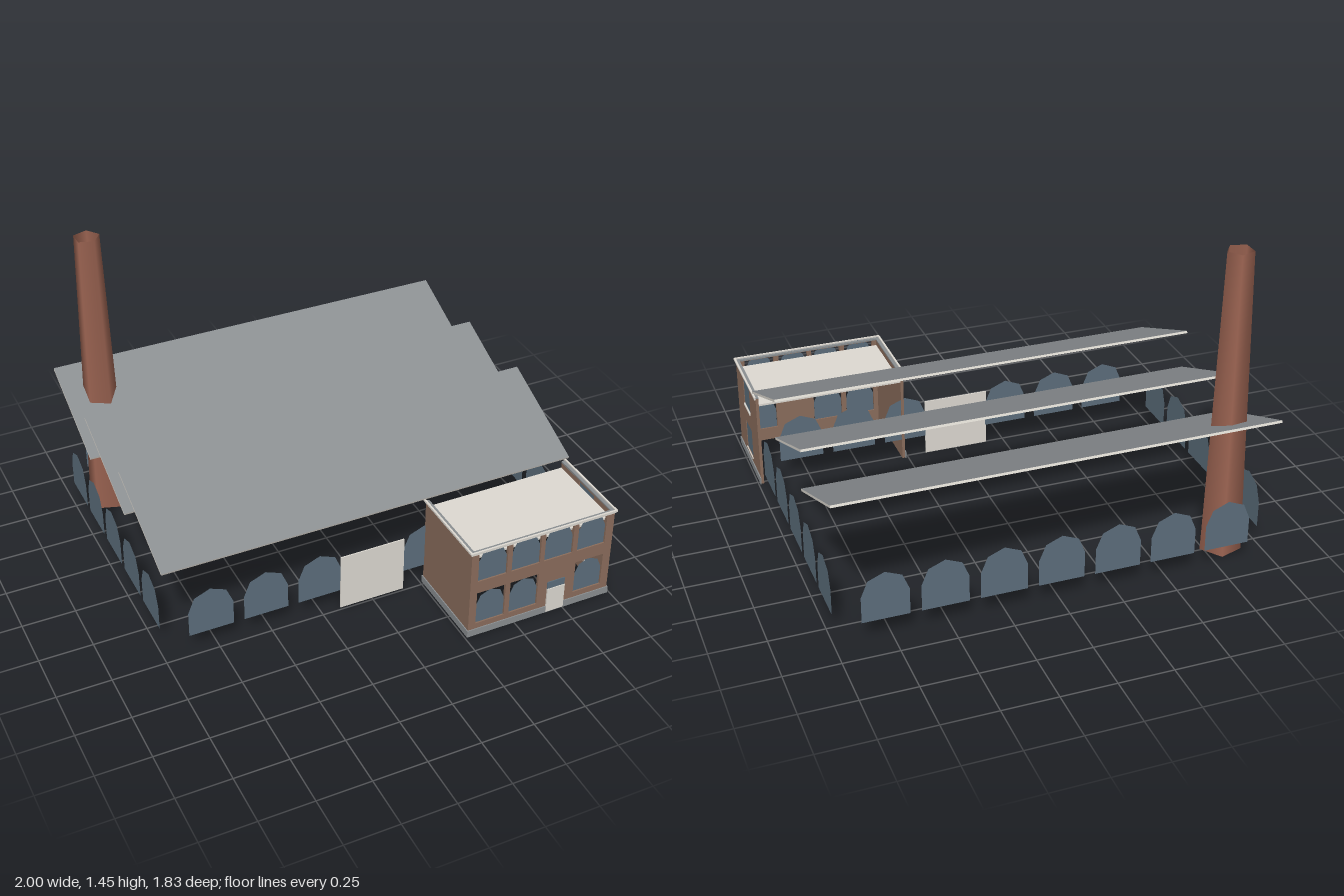
import * as THREE from 'three';

const paint = (name, color, side = THREE.FrontSide) => {
  const m = new THREE.MeshStandardMaterial({ color, side });
  m.name = name;
  return m;
};

export function createModel() {
  const root = new THREE.Group();
  root.name = 'factory';
  const roofGrey = paint('roofGrey', 0x8b8f92);
  const brick = paint('wallBrick', 0x8b6d5c);
  const chimneyBrick = paint('chimneyBrick', 0x9c6452, THREE.DoubleSide);
  const glass = paint('glassBlue', 0x5c6e7c, THREE.DoubleSide);
  const pale = paint('paleStone', 0xdedad2);

  const add = (name, geometry, material, x = 0, y = 0, z = 0, parent = root) => {
    const mesh = new THREE.Mesh(geometry, material);
    mesh.name = name;
    mesh.position.set(x, y, z);
    parent.add(mesh);
    return mesh;
  };
  // box given by its limits
  const box = (name, mat, x0, x1, y0, y1, z0, z1, parent = root) =>
    add(name, new THREE.BoxGeometry(x1 - x0, y1 - y0, z1 - z0), mat,
      (x0 + x1) / 2, (y0 + y1) / 2, (z0 + z1) / 2, parent);

  // upright pane with a four-sided round head, standing on y = 0
  const archPane = (r, spring) => {
    const s = new THREE.Shape();
    s.moveTo(-r, 0);
    s.lineTo(r, 0);
    for (let i = 0; i <= 4; i++) {
      const a = i * Math.PI / 4;
      s.lineTo(r * Math.cos(a), spring + r * Math.sin(a));
    }
    return new THREE.ShapeGeometry(s);
  };

  // wall panel with rectangular openings [x0, x1, y0, y1]
  const wallPanel = (x0, x1, y1, openings, depth) => {
    const rect = (C, a, b, c, d) => new C([[a, c], [b, c], [b, d], [a, d]].map(p => new THREE.Vector2(...p)));
    const s = rect(THREE.Shape, x0, x1, 0, y1);
    s.holes = openings.map(o => rect(THREE.Path, ...o));
    return new THREE.ExtrudeGeometry(s, { depth, bevelEnabled: false });
  };

  // three overlapping sloping slabs: grey on top, pale edges and underside
  const rise = 0.207, run = 0.494;
  const slabPaint = [pale, pale, roofGrey, pale, pale, pale];
  for (const z of [0.252, -0.208, -0.67]) {
    const slab = add('roofSlab', new THREE.BoxGeometry(1.995, 0.011, Math.hypot(rise, run)), slabPaint, 0, 0.594, z);
    slab.rotation.x = Math.atan2(rise, run);
  }

  // tapering five-sided chimney, open at the ends
  const chimney = add('chimney', new THREE.CylinderGeometry(0.061, 0.097, 1.45, 5, 1, true), chimneyBrick, -0.832, 0.725, -0.743);
  chimney.rotation.y = Math.PI / 2;

  // hall windows on all four sides
  const hallPane = archPane(0.105, 0.124);
  for (let i = -3; i <= 3; i++) {
    if (i !== 0) add('hallFrontWindow', hallPane, glass, i * 0.26, 0.102, 0.487);
    add('hallBackWindow', hallPane, glass, i * 0.26, 0.102, -0.9);
  }
  for (const side of [-1, 1]) {
    for (let i = -2; i <= 2; i++) {
      const w = add('hallSideWindow', hallPane, glass, side * 0.985, 0.102, -0.207 + i * 0.245);
      w.rotation.y = side * Math.PI / 2;
    }
  }
  box('hallGate', pale, -0.16, 0.157, 0.005, 0.29, 0.487, 0.493);

  // office block, open towards the hall
  const office = new THREE.Group();
  office.name = 'office';
  root.add(office);
  const X0 = 0.265, X1 = 0.987, ZB = 0.483, ZF = 0.905, T = 0.014;
  const columns = [0.373, 0.541, 0.707, 0.876];

  // front wall with its openings and arched panes
  const openings = [];
  const officePane = archPane(0.07, 0.098);
  columns.forEach((x, i) => {
    openings.push([x - 0.072, x + 0.072, 0.3, 0.456]);
    add('officeUpperWindow', officePane, glass, x, 0.3, ZF - T / 2, office);
    if (i === 2) return;
    openings.push([x - 0.072, x + 0.072, 0.064, 0.236]);
    add('officeLowerWindow', officePane, glass, x, 0.064, ZF - T / 2, office);
  });
  add('officeFrontWall', wallPanel(X0, X1, 0.46, openings, T), brick, 0, 0, ZF - T, office);

  // door with a light above it
  const doorX = columns[2];
  box('officeDoor', pale, doorX - 0.045, doorX + 0.045, 0.005, 0.135, ZF, ZF + 0.008, office);
  box('doorLight', glass, doorX - 0.045, doorX + 0.045, 0.135, 0.172, ZF, ZF + 0.004, office);

  // side walls, the outer one with two windows
  const sideRows = [[0.062, 0.21], [0.302, 0.45]];
  const z0 = 0.632, z1 = 0.757;
  const outer = add('officeLeftWall',
    wallPanel(ZB, ZF - T, 0.46, sideRows.map(r => [z0, z1, ...r]), T), brick, X1, 0, 0, office);
  outer.rotation.y = -Math.PI / 2;
  box('officeRightWall', brick, X0, X0 + T, 0, 0.46, ZB, ZF - T, office);
  for (const [y0, y1] of sideRows) {
    box('officeSideWindow', glass, X1 - 0.007, X1 - 0.003, y0, y1, z0, z1, office);
    box('officeSill', pale, X1 - T, X1 + 0.004, y0 - 0.008, y0, z0, z1, office);
  }

  // flat roof sunk behind the parapet
  box('officeRoof', pale, X0 + T, X1 - T, 0.42, 0.43, ZB, ZF - T, office);

  // band running round the three walls, from inn inside to out outside
  const band = (name, mat, y0, y1, out, inn) => {
    box(name, mat, X0 - out, X1 + out, y0, y1, ZF - inn, ZF + out, office);
    box(name, mat, X0 - out, X0 + inn, y0, y1, ZB - out, ZF - inn, office);
    box(name, mat, X1 - inn, X1 + out, y0, y1, ZB - out, ZF - inn, office);
  };
  band('officePlinth', roofGrey, 0, 0.035, 0.005, 0);
  band('officeCornice', pale, 0.456, 0.463, 0.005, 0);
  band('officeCoping', pale, 0.463, 0.472, 0.009, 0);
  band('officeParapetTop', roofGrey, 0.458, 0.466, 0, 0.015);

  return root;
}
